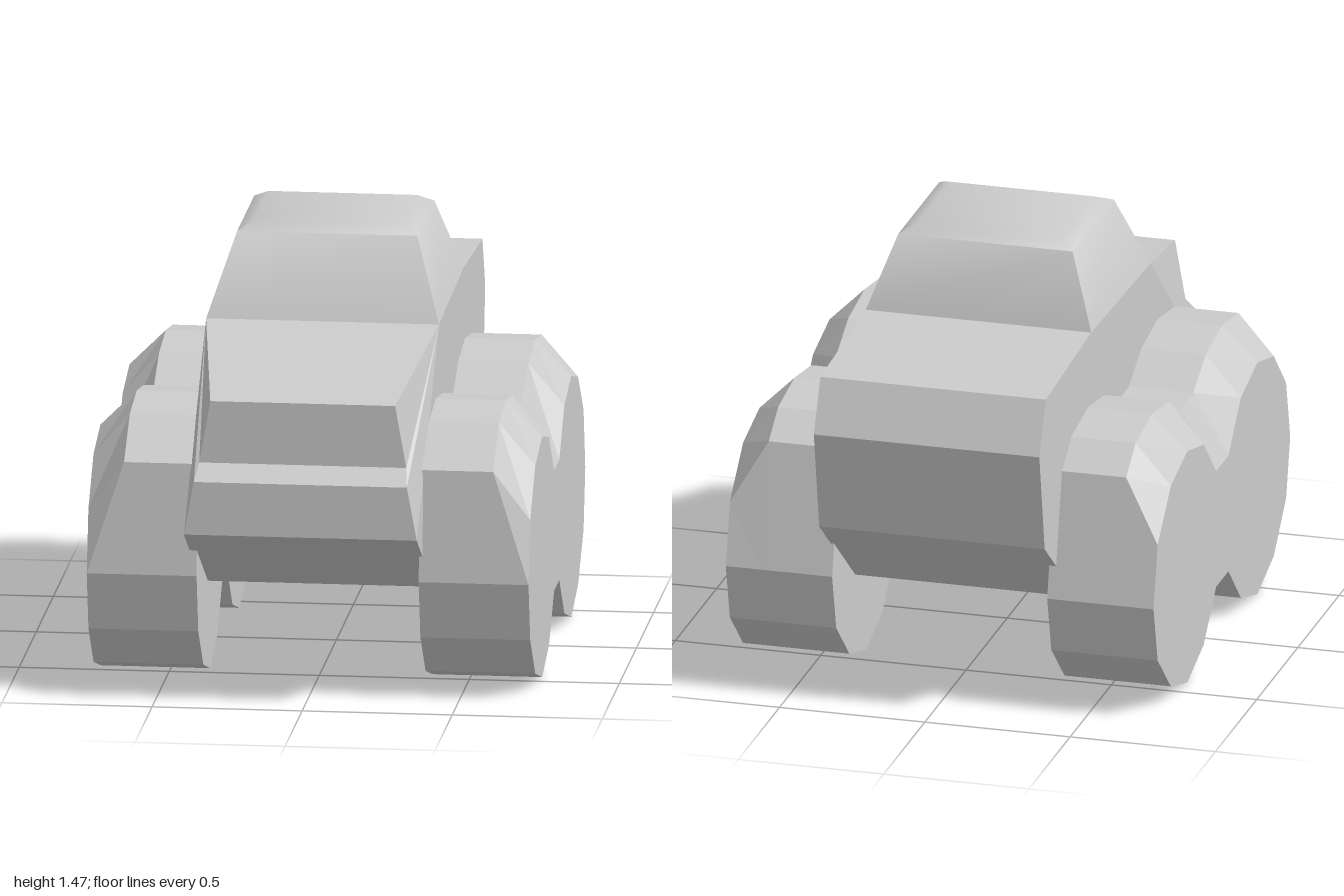
import * as THREE from 'three';
import { toCreasedNormals } from 'three/addons/utils/BufferGeometryUtils.js';

// Joins rings of [x, y, z] points; each ring runs counter-clockwise seen from the last one.
// The cap triangles index into a ring and close the chosen ends.
function loft(rings, cap, capStart = true) {
  const pos = [];
  const tri = (a, b, c) => pos.push(...a, ...b, ...c);
  const n = rings[0].length;
  for (let r = 0; r < rings.length - 1; r++) {
    for (let i = 0; i < n; i++) {
      const j = (i + 1) % n;
      tri(rings[r][i], rings[r][j], rings[r + 1][j]);
      tri(rings[r][i], rings[r + 1][j], rings[r + 1][i]);
    }
  }
  const first = rings[0], last = rings[rings.length - 1];
  for (const [a, b, c] of cap) {
    tri(last[a], last[b], last[c]);
    if (capStart) tri(first[c], first[b], first[a]);
  }
  const g = new THREE.BufferGeometry();
  g.setAttribute('position', new THREE.Float32BufferAttribute(pos, 3));
  g.computeVertexNormals();
  return g;
}

const fan = (n) => Array.from({ length: n - 2 }, (_, i) => [0, i + 1, i + 2]);

function part(name, geometry, flatShading = true) {
  const mesh = new THREE.Mesh(geometry, new THREE.MeshStandardMaterial({ color: 0xcccccc, flatShading }));
  mesh.name = name;
  return mesh;
}

// Hull: side profile of [halfWidth, y, z], starting at the foot of the windshield
function hullGeometry() {
  const profile = [
    [0.388, 1.17, 0.35], [0.308, 1.03, 0.93], [0.345, 0.82, 0.93], [0.355, 0.77, 1.0],
    [0.388, 0.59, 1.0], [0.388, 0.315, 0.51], [0.388, 0.315, -0.54], [0.388, 0.63, -0.935],
    [0.388, 0.98, -1.0], [0.388, 1.155, -0.92], [0.388, 1.19, -0.37],
  ];
  const side = (s) => profile.map(([w, y, z]) => [s * w, y, z]);
  return loft([side(-1), side(1)], fan(profile.length));
}

// Cabin: tapered box with a softly bevelled roof
function cabinGeometry() {
  const ring = (w, yf, zf, yb, zb) => [[w, yf, zf], [w, yb, zb], [-w, yb, zb], [-w, yf, zf]];
  const rings = [
    ring(0.388, 1.17, 0.35, 1.19, -0.37),
    ring(0.3, 1.437, 0.215, 1.437, -0.285),
    ring(0.248, 1.465, 0.155, 1.465, -0.24),
  ];
  return toCreasedNormals(loft(rings, fan(4), false), 0.87);
}

// Wheel pod: two twelve-sided wheels merged in one block, with a raised, chamfered fender
function wheelPodGeometry() {
  const lower = [
    [0.84, 0.41], [0.79, 0.21], [0.64, 0.06], [0.44, 0], [0.24, 0.06], [0.09, 0.21],
    [-0.06, 0.21], [-0.21, 0.06], [-0.41, 0], [-0.61, 0.06], [-0.77, 0.21], [-0.82, 0.41],
  ];
  const rim = [
    [-0.77, 0.62], [-0.61, 0.77], [-0.41, 0.82], [-0.21, 0.77], [-0.06, 0.62],
    [0.09, 0.62], [0.24, 0.77], [0.44, 0.82], [0.64, 0.77], [0.79, 0.62],
  ];
  const fender = [
    [-0.725, 0.83], [-0.61, 0.91], [-0.41, 0.94], [-0.21, 0.91], [-0.06, 0.83],
    [0.09, 0.83], [0.24, 0.91], [0.44, 0.94], [0.64, 0.91], [0.81, 0.785],
  ];
  const ring = (x, upper) => [...lower, ...upper].map(([z, y]) => [x, y, z]);
  const outline = [...lower, ...rim].map(([z, y]) => new THREE.Vector2(-z, y));
  const cap = THREE.ShapeUtils.triangulateShape(outline, []);
  return loft([ring(0.37, fender), ring(0.615, fender), ring(0.736, rim)], cap);
}

export function createModel() {
  const model = new THREE.Group();
  model.name = 'vehicle';

  const body = new THREE.Group();
  body.name = 'body';
  body.position.x = -0.006;
  body.add(part('hull', hullGeometry()), part('cabin', cabinGeometry(), false));
  model.add(body);

  // Mirrored wheel pods
  const pod = wheelPodGeometry();
  for (const [name, s] of [['leftWheelPod', 1], ['rightWheelPod', -1]]) {
    const mesh = part(name, pod);
    mesh.scale.x = s;
    model.add(mesh);
  }
  return model;
}
